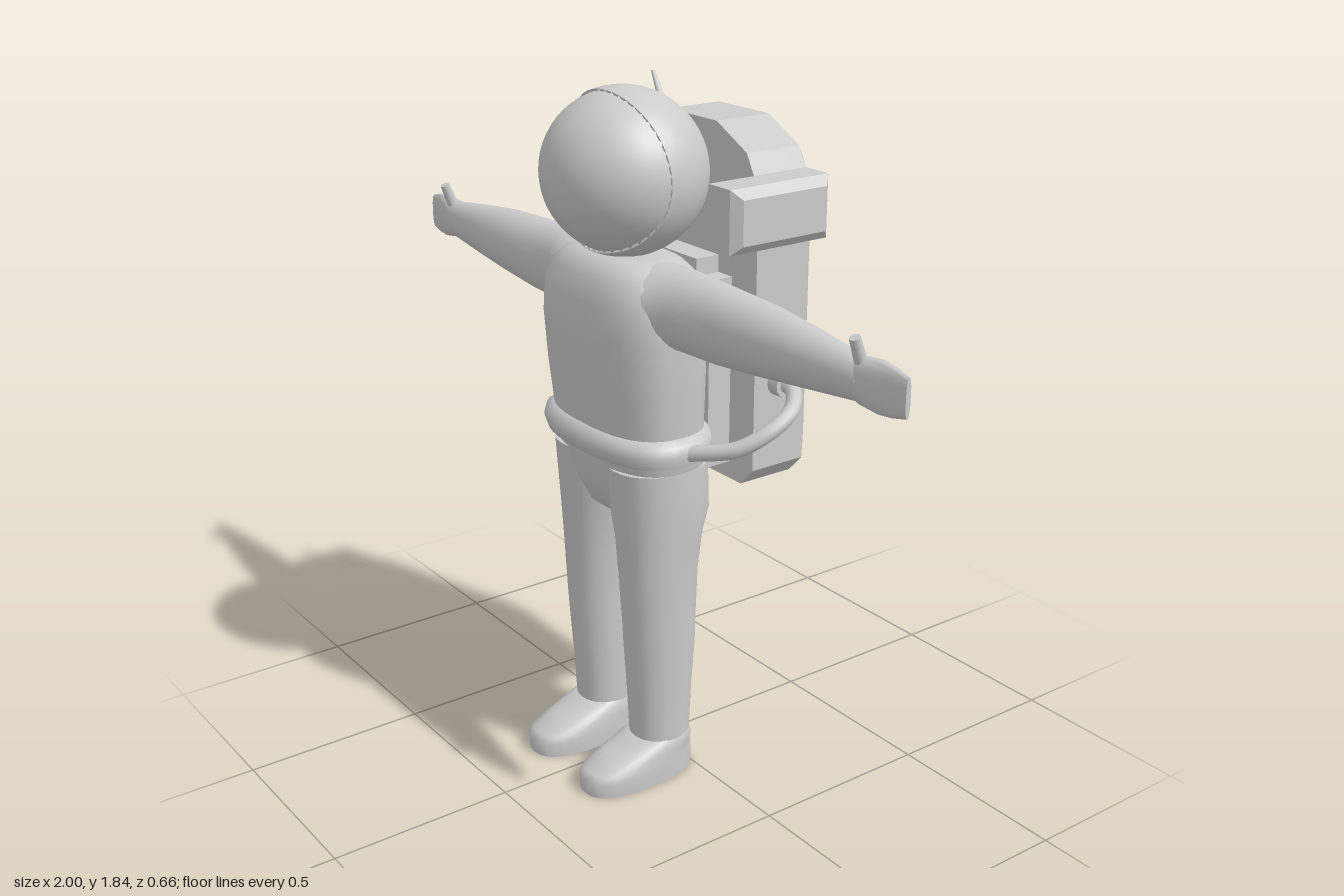
import * as THREE from 'three';
import { toCreasedNormals, mergeVertices } from 'three/addons/utils/BufferGeometryUtils.js';
import { ConvexGeometry } from 'three/addons/geometries/ConvexGeometry.js';

const grey = new THREE.MeshStandardMaterial({ color: 0xcccccc, side: THREE.DoubleSide });

function add(parent, name, geometry) {
  const mesh = new THREE.Mesh(geometry, grey);
  mesh.name = name;
  parent.add(mesh);
  return mesh;
}

// Capped loft along y; each section is [y, centreX, centreZ, radiusX, radiusZ]
function loft(sections, power = 2, sides = 28) {
  const pos = [], index = [];
  const soft = (v) => Math.sign(v) * Math.abs(v) ** (2 / power);
  for (const [y, cx, cz, rx, rz] of sections) {
    for (let i = 0; i < sides; i++) {
      const a = (i / sides) * Math.PI * 2;
      pos.push(cx + rx * soft(Math.cos(a)), y, cz + rz * soft(Math.sin(a)));
    }
  }
  const last = (sections.length - 1) * sides;
  for (let i = 0; i < sides; i++) {
    const j = (i + 1) % sides;
    for (let r = 0; r < last; r += sides) {
      index.push(r + i, r + sides + i, r + j, r + j, r + sides + i, r + sides + j);
    }
    if (i > 0 && j > 0) {
      index.push(0, i, j, last, last + j, last + i);
    }
  }
  const g = new THREE.BufferGeometry();
  g.setAttribute('position', new THREE.Float32BufferAttribute(pos, 3));
  g.setIndex(index);
  return toCreasedNormals(g, 0.85);
}

// Same section, given by its z extent
const span = (y, cx, rx, zBack, zFront) => [y, cx, (zBack + zFront) / 2, rx, (zFront - zBack) / 2];

const hull = (points) => new ConvexGeometry(points.map((p) => new THREE.Vector3(...p)));

// Straight rod between two points, tapering from r0 to r1
function rod(from, to, r0, r1, sides = 12) {
  const a = new THREE.Vector3(...from), d = new THREE.Vector3(...to).sub(a);
  const g = new THREE.CylinderGeometry(r1, r0, d.length(), sides);
  g.translate(0, d.length() / 2, 0);
  g.applyQuaternion(new THREE.Quaternion().setFromUnitVectors(new THREE.Vector3(0, 1, 0), d.normalize()));
  return g.translate(a.x, a.y, a.z);
}

// Helmet shell: a sphere from the back whose rim dips forward at crown and chin
function helmetShell() {
  let g = new THREE.SphereGeometry(1, 48, 24);
  const { position: p, uv } = g.attributes;
  for (let i = 0; i < p.count; i++) {
    const phi = uv.getX(i) * Math.PI * 2, t = 1 - uv.getY(i), s = Math.sin(phi);
    const reach = THREE.MathUtils.degToRad(93 + (s > 0 ? 11 : 25) * s * s);
    const theta = Math.min(t / 0.95, 1) * reach;
    const r = t > 0.99 ? 0.198 : 0.21;
    p.setXYZ(i, -r * Math.cos(phi) * Math.sin(theta), r * s * Math.sin(theta), -r * Math.cos(theta));
  }
  g.deleteAttribute('uv');
  g.deleteAttribute('normal');
  g = mergeVertices(g, 1e-5);
  return toCreasedNormals(g, 0.8);
}

export function createModel() {
  const model = new THREE.Group();
  model.name = 'astronaut';

  // Body
  add(model, 'torso', loft([
    span(0.73, 0, 0.07, -0.0, 0.13), span(0.76, 0, 0.13, -0.035, 0.18),
    span(0.82, 0, 0.2, -0.05, 0.205), span(0.9, 0, 0.232, -0.05, 0.22),
    span(1.0, 0, 0.238, -0.048, 0.232), span(1.12, 0, 0.247, -0.048, 0.245),
    span(1.25, 0, 0.253, -0.05, 0.254), span(1.33, 0, 0.25, -0.048, 0.25),
    span(1.39, 0, 0.225, -0.035, 0.232), span(1.42, 0, 0.185, -0.01, 0.21),
    span(1.435, 0, 0.13, 0.02, 0.185),
  ], 2.6, 40));
  add(model, 'belt', loft([
    span(0.92, 0, 0.235, -0.05, 0.225), span(0.93, 0, 0.258, -0.06, 0.246),
    span(0.96, 0, 0.266, -0.064, 0.256), span(0.985, 0, 0.26, -0.062, 0.25),
    span(1.0, 0, 0.238, -0.05, 0.23),
  ], 2.6, 40));

  // Helmet
  const helmet = new THREE.Group();
  helmet.name = 'helmet';
  helmet.position.set(0, 1.63, 0.102);
  helmet.scale.x = 1.05;
  model.add(helmet);
  add(helmet, 'helmetShell', helmetShell());
  add(helmet, 'visor', new THREE.SphereGeometry(0.204, 40, 28));

  // Backpack: arched outline with a bevelled back
  const half = [[0.22, 0.82], [0.267, 0.87], [0.267, 1.6], [0.22, 1.685], [0.1, 1.745]];
  const packPoints = [];
  for (const [x, y] of half) {
    for (const s of [-1, 1]) {
      packPoints.push([s * x, y, -0.11], [s * x, y, -0.275]);
      packPoints.push([s * x * 0.78, 1.28 + (y - 1.28) * 0.9, -0.33]);
    }
  }
  add(model, 'backpack', hull(packPoints));
  add(model, 'backPlate', new THREE.BoxGeometry(0.34, 0.5, 0.08).translate(0, 1.115, -0.08));
  add(model, 'upperBackPlate', new THREE.BoxGeometry(0.23, 0.1, 0.08).translate(0, 1.36, -0.08));
  add(model, 'antenna', rod([-0.185, 1.65, -0.19], [-0.275, 1.81, -0.19], 0.018, 0.005));

  for (const s of [1, -1]) {
    const side = s > 0 ? 'left' : 'right';

    // Leg and boot
    add(model, side + 'Leg', loft([
      span(0.08, s * 0.127, 0.074, 0.005, 0.163), span(0.25, s * 0.128, 0.08, -0.002, 0.172),
      span(0.38, s * 0.129, 0.084, -0.012, 0.182), span(0.45, s * 0.13, 0.086, -0.012, 0.186),
      span(0.6, s * 0.128, 0.094, -0.017, 0.194), span(0.7, s * 0.126, 0.102, -0.03, 0.2),
      span(0.77, s * 0.121, 0.112, -0.053, 0.207), span(0.9, s * 0.118, 0.115, -0.05, 0.218),
    ], 2.2));
    add(model, side + 'Boot', loft([
      span(0, s * 0.126, 0.084, -0.006, 0.328), span(0.04, s * 0.126, 0.086, -0.006, 0.33),
      span(0.058, s * 0.126, 0.085, -0.004, 0.315), span(0.085, s * 0.126, 0.082, 0, 0.245),
      span(0.108, s * 0.127, 0.079, 0, 0.185), span(0.118, s * 0.127, 0.074, 0.003, 0.165),
    ], 2.5));

    // Arm and mitten, lofted upright then laid sideways: [x, y, z, radiusY, radiusZ]
    const limb = (rows, power) => loft(rows.map(([x, y, ...rest]) => [x, -s * y, ...rest]), power)
      .rotateZ(-s * Math.PI / 2);
    add(model, side + 'Arm', limb([
      [0.12, 1.33, 0.1, 0.1, 0.13], [0.19, 1.33, 0.095, 0.102, 0.11],
      [0.26, 1.33, 0.084, 0.101, 0.085], [0.4, 1.33, 0.085, 0.096, 0.08],
      [0.55, 1.334, 0.085, 0.086, 0.073], [0.7, 1.334, 0.084, 0.07, 0.059],
      [0.8, 1.333, 0.084, 0.058, 0.046], [0.87, 1.332, 0.084, 0.05, 0.035],
    ], 2));
    add(model, side + 'Hand', limb([
      [0.84, 1.332, 0.084, 0.044, 0.03], [0.87, 1.332, 0.084, 0.054, 0.034],
      [0.92, 1.331, 0.083, 0.061, 0.025], [0.96, 1.33, 0.083, 0.057, 0.016],
      [1, 1.329, 0.082, 0.047, 0.007],
    ], 2.4));
    add(model, side + 'Thumb', rod([s * 0.866, 1.35, 0.085], [s * 0.868, 1.435, 0.118], 0.016, 0.013));

    // Chamfered thruster block beside the pack
    const block = [];
    for (const u of [-1, 1]) {
      for (const v of [-1, 1]) {
        for (const [x, inset] of [[0.25, 0], [0.332, 0], [0.355, 0.024]]) {
          block.push([s * x, 1.555 + u * (0.08 - inset), -0.122 + v * (0.152 - inset)]);
        }
      }
    }
    add(model, side + 'Thruster', hull(block));

    // Hose from pack port to belt
    add(model, side + 'HosePort', rod([s * 0.25, 1.1, -0.19], [s * 0.302, 1.1, -0.19], 0.038, 0.036, 16));
    const path = [[0.27, 1.1, -0.19], [0.33, 1.095, -0.183], [0.383, 1.067, -0.135], [0.39, 1.03, -0.065],
      [0.35, 0.985, 0.01], [0.24, 0.957, 0.09]];
    const curve = new THREE.CatmullRomCurve3(path.map(([x, y, z]) => new THREE.Vector3(s * x, y, z)));
    add(model, side + 'Hose', new THREE.TubeGeometry(curve, 32, 0.021, 12));
  }
  return model;
}
